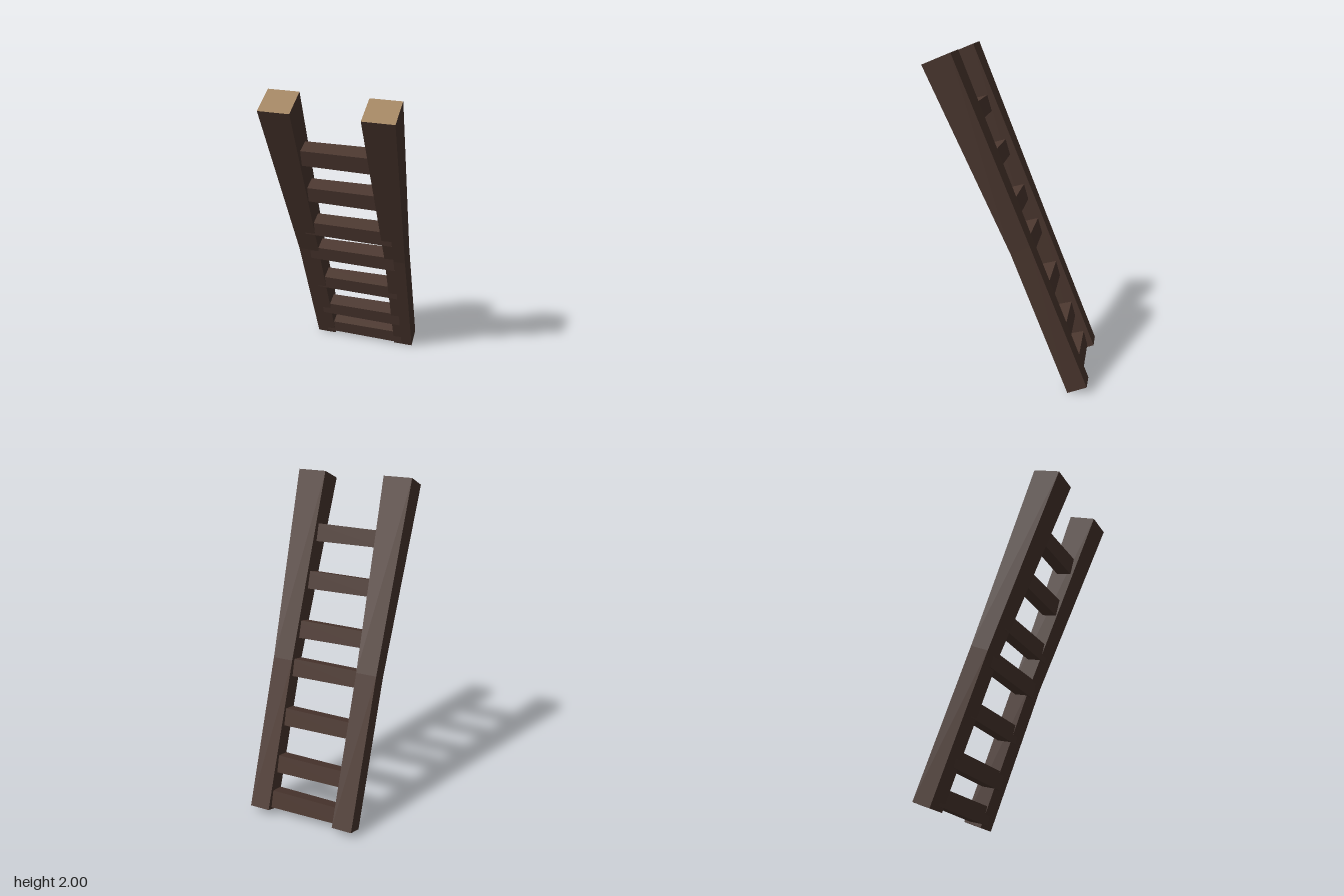
import * as THREE from 'three';

const darkWood = new THREE.MeshStandardMaterial({ color: 0x4b372f, side: THREE.DoubleSide });
darkWood.name = 'darkWood';
const cutWood = new THREE.MeshStandardMaterial({ color: 0xa28562, side: THREE.DoubleSide });
cutWood.name = 'cutWood';

// Flat-shaded faces from four-cornered loops
function quads(list) {
  const pos = [];
  for (const [a, b, c, d] of list) pos.push(...a, ...b, ...c, ...a, ...c, ...d);
  const g = new THREE.BufferGeometry();
  g.setAttribute('position', new THREE.Float32BufferAttribute(pos, 3));
  g.computeVertexNormals();
  return g;
}

// Open skin between successive four-cornered sections
function loft(sections) {
  const list = [];
  for (let i = 0; i < sections.length - 1; i++) {
    const s = sections[i], t = sections[i + 1];
    for (let j = 0; j < 4; j++) {
      const k = (j + 1) % 4;
      list.push([s[j], s[k], t[k], t[j]]);
    }
  }
  return quads(list);
}

function addMesh(parent, name, geometry, material) {
  const mesh = new THREE.Mesh(geometry, material);
  mesh.name = name;
  parent.add(mesh);
}

// Rail sections: inner x, outer x, front [z, y], back [z, y]
const RAIL = [
  { inner: 0.215, outer: 0.34, front: [-0.355, 0], back: [-0.47, 0.047] },
  { inner: 0.213, outer: 0.34, front: [-0.012, 0.865], back: [-0.123, 0.918] },
  { inner: 0.188, outer: 0.364, front: [0.47, 1.933], back: [0.307, 2] },
];

// Rung centres [z, y], from the bottom up
const RUNGS = [
  [-0.372, 0.085], [-0.287, 0.29], [-0.182, 0.568], [-0.062, 0.853],
  [0.028, 1.075], [0.143, 1.36], [0.255, 1.632],
];

export function createModel() {
  const ladder = new THREE.Group();
  ladder.name = 'ladder';

  // Leaning side rails, flaring toward pale cut ends
  for (const side of [1, -1]) {
    const sections = RAIL.map(({ inner, outer, front, back }) => {
      const x0 = side > 0 ? inner : -outer;
      const x1 = side > 0 ? outer : -inner;
      const [fz, fy] = front, [bz, by] = back;
      return [[x0, fy, fz], [x1, fy, fz], [x1, by, bz], [x0, by, bz]];
    });
    const label = side > 0 ? 'left' : 'right';
    addMesh(ladder, label + 'Rail', loft(sections), darkWood);
    addMesh(ladder, label + 'RailCutEnd', quads([sections[2]]), cutWood);
  }

  // Tilted rungs, slightly thicker at the left end
  const tilt = 0.27, height = 0.104, depth = 0.092;
  const c = Math.cos(tilt), s = Math.sin(tilt);
  RUNGS.forEach(([z, y], i) => {
    const section = (x, scale) => [[1, -1], [-1, -1], [-1, 1], [1, 1]].map(([f, u]) => {
      const a = f * depth * scale / 2, b = u * height * scale / 2;
      return [x, y + b * c - a * s, z + a * c + b * s];
    });
    addMesh(ladder, 'rung' + (i + 1), loft([section(-0.27, 0.96), section(0.27, 1.05)]), darkWood);
  });

  return ladder;
}
